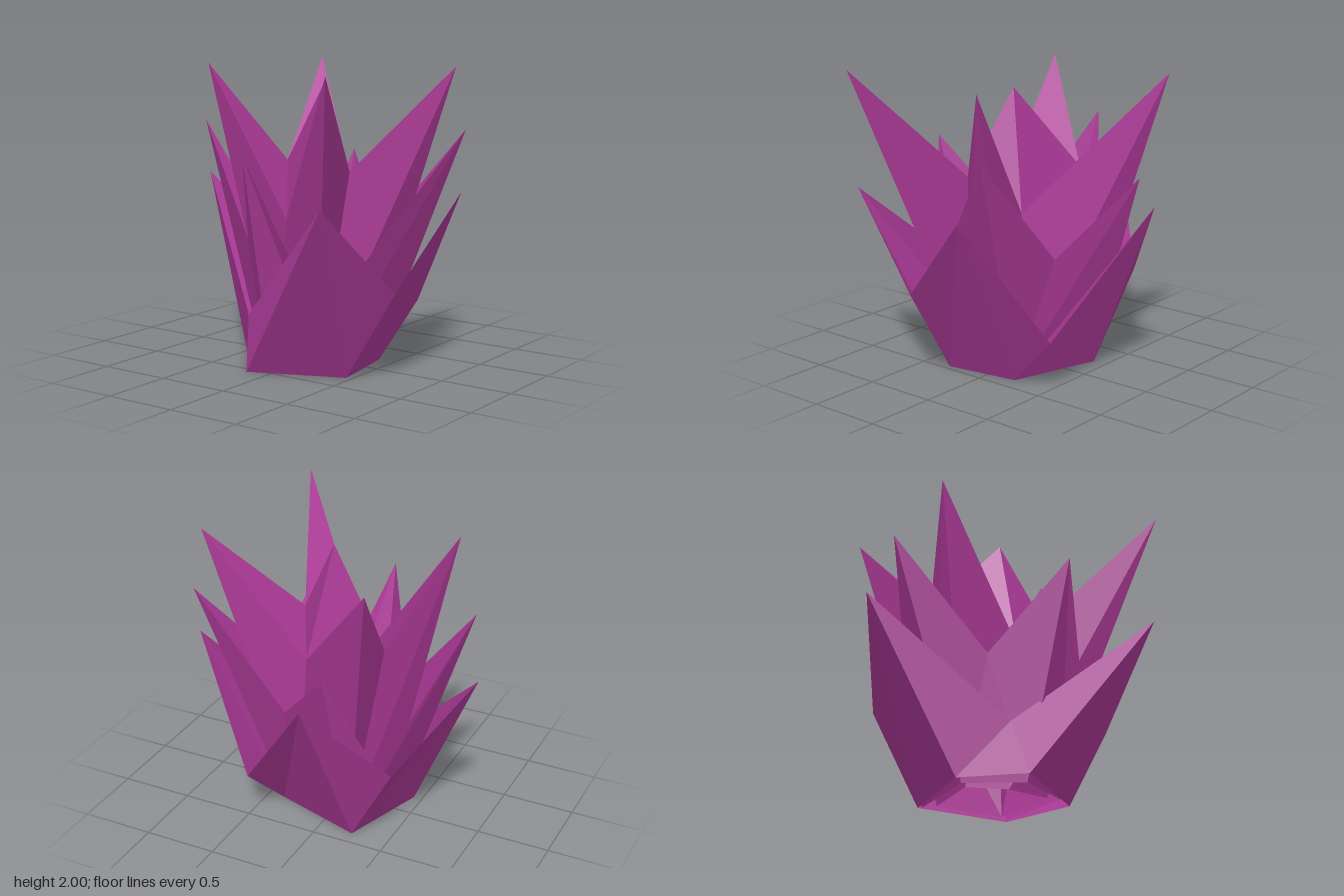
import * as THREE from 'three';

// Each tier: a five-sided foot, four valleys and four leaf tips, listed around the plant from the front
const tiers = [
  {
    name: 'outerLeaves',
    foot: [[-0.16, 0, 0.56], [0.46, 0, 0.30], [0.38, 0, -0.21], [-0.24, 0, -0.40], [-0.44, 0, 0.19]],
    valleys: [[-0.22, 0.36, 0.455], [0.83, 0.6, 0.30], [0.46, 0.36, -0.57], [-0.565, 0.6, -0.49]],
    tips: [[0.68, 1.2, 0.91], [0.98, 1.2, -0.25], [-0.14, 1.2, -0.94], [-0.98, 1.2, -0.08]],
  },
  {
    name: 'middleLeaves',
    foot: [[-0.055, 0, 0.43], [0.32, 0, 0.35], [0.36, 0, -0.20], [-0.22, 0, -0.38], [-0.35, 0, 0.14]],
    valleys: [[-0.31, 0.84, 0.34], [0.40, 0.40, 0.52], [0.24, 0.84, -0.43], [-0.39, 0.48, -0.31]],
    tips: [[0, 1.47, 0.79], [0.925, 1.59, -0.39], [-0.21, 1.35, -0.77], [-0.89, 1.59, 0.07]],
  },
  {
    name: 'innerLeaves',
    foot: [[-0.05, 0, 0.26], [0.24, 0, 0.31], [0.29, 0, -0.16], [-0.17, 0, -0.29], [-0.28, 0, 0.10]],
    valleys: [[-0.015, 1.0, 0.31], [0.395, 1.33, 0.175], [0.225, 1.1, -0.14], [-0.36, 1.32, -0.17]],
    tips: [[0.735, 2, 0.93], [0.88, 2, -0.33], [-0.505, 2, -0.785], [-0.675, 2, 0.295]],
  },
];

function facetMesh(name, triangles, material) {
  const geometry = new THREE.BufferGeometry();
  geometry.setAttribute('position', new THREE.Float32BufferAttribute(triangles.flat(2), 3));
  geometry.computeVertexNormals();
  const mesh = new THREE.Mesh(geometry, material);
  mesh.name = name;
  return mesh;
}

// Every leaf is three facets: its front and a flank down to the valley on each side
function leafRing({ foot, valleys, tips }) {
  const triangles = [];
  tips.forEach((tip, i) => {
    const a = foot[i], b = foot[i + 1];
    triangles.push([a, b, tip], [a, tip, valleys[i]], [b, valleys[(i + 1) % 4], tip]);
  });
  // the fifth side of the foot closes up to the first valley
  triangles.push([foot[4], foot[0], valleys[0]]);
  return triangles;
}

export function createModel() {
  const plant = new THREE.Group();
  plant.name = 'spikyPlant';
  const purple = new THREE.MeshStandardMaterial({ color: 0xad3a98, flatShading: true, side: THREE.DoubleSide });
  purple.name = 'purple leaf';

  for (const tier of tiers) plant.add(facetMesh(tier.name, leafRing(tier), purple));

  // The innermost leaves are solid: flat upper faces behind the tips, and a pointed bud over the middle
  const { valleys, tips } = tiers[2];
  const peak = [0.10, 1.9, 0.03];
  const next = (i) => valleys[(i + 1) % 4];
  plant.add(facetMesh('innerLeafTops', tips.map((tip, i) => [valleys[i], tip, next(i)]), purple));
  plant.add(facetMesh('centreBud', valleys.map((v, i) => [v, next(i), peak]), purple));
  return plant;
}
